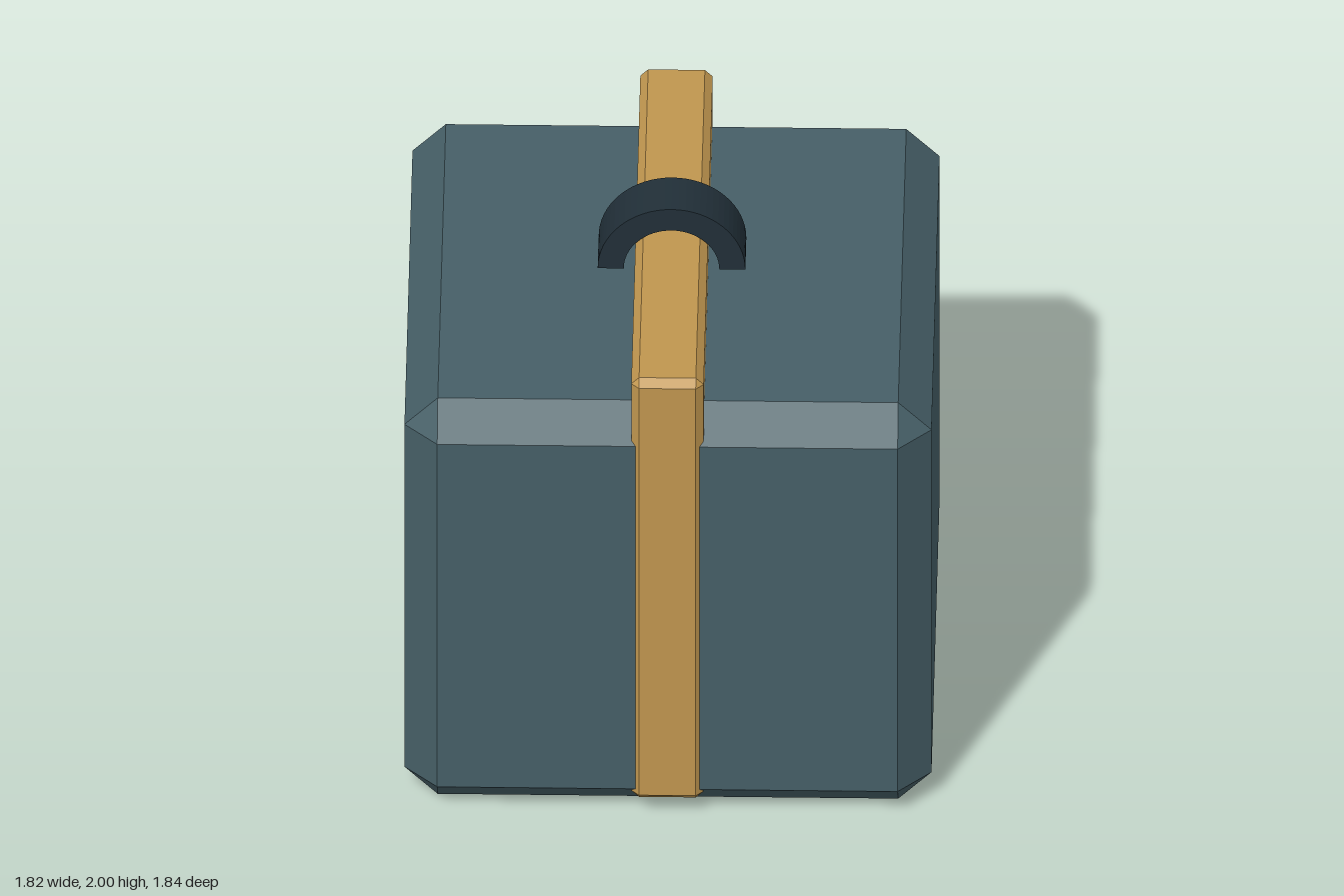
import * as THREE from 'three';
import { ConvexGeometry } from 'three/addons/geometries/ConvexGeometry.js';

// Box with every edge cut at 45 degrees and triangular corners
function chamferedBox(w, h, d, c) {
  const points = [];
  for (const sx of [-1, 1]) for (const sy of [-1, 1]) for (const sz of [-1, 1]) {
    const x = w / 2, y = h / 2, z = d / 2;
    points.push(
      new THREE.Vector3(sx * x, sy * (y - c), sz * (z - c)),
      new THREE.Vector3(sx * (x - c), sy * y, sz * (z - c)),
      new THREE.Vector3(sx * (x - c), sy * (y - c), sz * z)
    );
  }
  return new ConvexGeometry(points);
}

function addPart(group, name, geometry, color, y) {
  const material = new THREE.MeshStandardMaterial({ color, flatShading: true });
  const mesh = new THREE.Mesh(geometry, material);
  mesh.name = name;
  mesh.position.y = y;
  group.add(mesh);
}

export function createModel() {
  const group = new THREE.Group();
  group.name = 'strappedCrate';

  // Bevelled body
  addPart(group, 'body', chamferedBox(1.82, 1.7, 1.82, 0.115), 0x465f67, 0.85);

  // Strap slab running through the middle, proud of the front, back and top
  addPart(group, 'strap', chamferedBox(0.25, 1.8, 1.844, 0.027), 0xc0964f, 0.97);

  // Half-ring handle over the strap
  const arch = new THREE.Shape();
  arch.absarc(0, 0, 0.255, 0, Math.PI, false);
  arch.absarc(0, 0, 0.165, Math.PI, 0, true);
  arch.closePath();
  const depth = 0.186;
  const handle = new THREE.ExtrudeGeometry(arch, { depth, bevelEnabled: false, curveSegments: 16 });
  handle.translate(0, 0, -depth / 2);
  addPart(group, 'handle', handle, 0x212f38, 1.745);

  return group;
}
